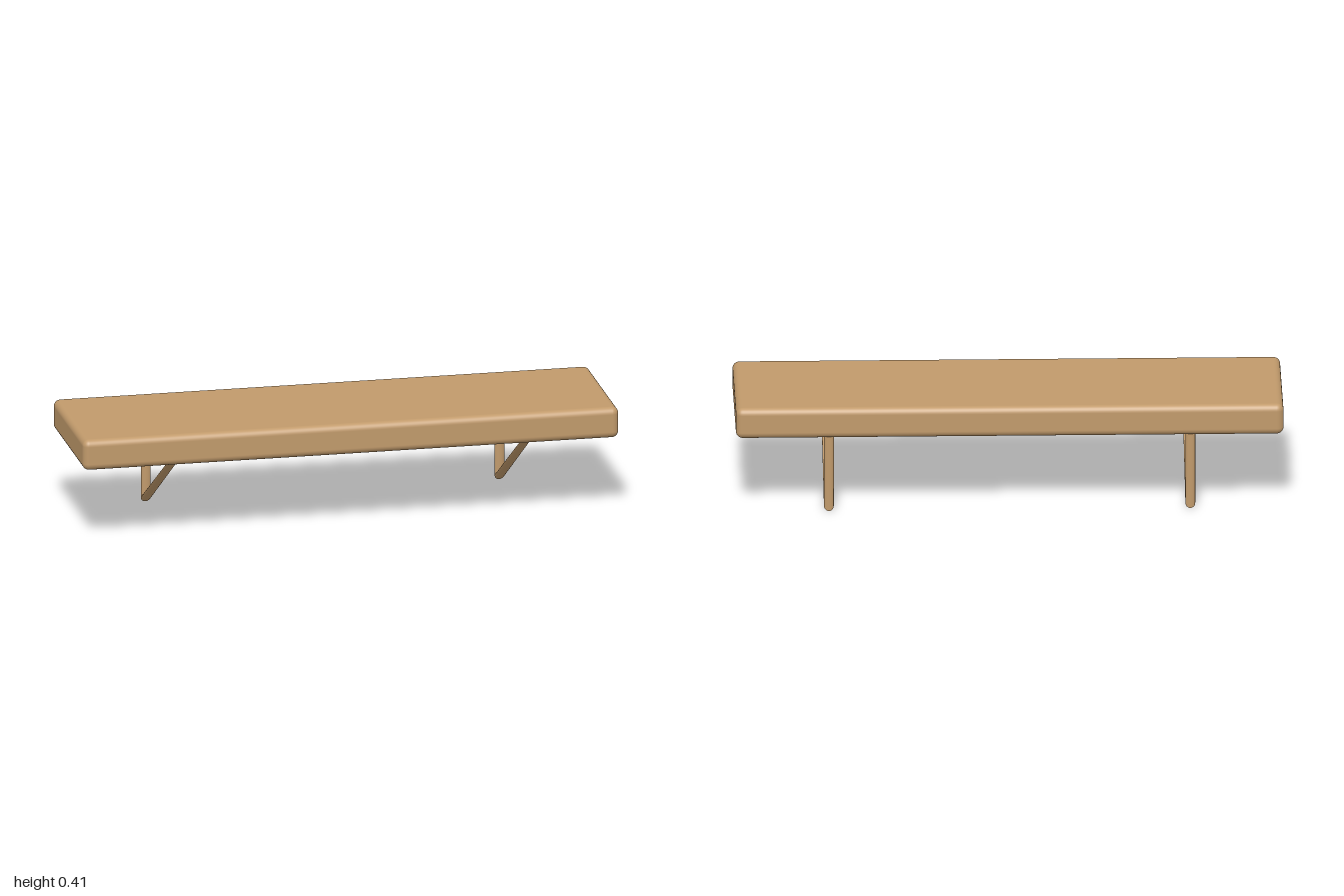
import * as THREE from 'three';
import { RoundedBoxGeometry } from 'three/addons/geometries/RoundedBoxGeometry.js';

// Bracket corners in the z-y plane: inner and outer mitre points
const CORNERS = [
  { inner: [-0.222, 0.272], outer: [-0.247, 0.297] }, // top back
  { inner: [-0.225, 0.035], outer: [-0.243, 0] },     // bottom
  { inner: [0.2, 0.28], outer: [0.25, 0.298] },       // top front
];
const HALF_WIDTH = 0.018;
const SIDES = 16;

// Tapered bar with an oval section, mitred at both corners
function barGeometry(from, to) {
  const positions = [];
  const indices = [];
  for (const { inner, outer } of [from, to]) {
    for (let i = 0; i < SIDES; i++) {
      const a = (i / SIDES) * Math.PI * 2;
      const t = (1 + Math.cos(a)) / 2;
      positions.push(
        HALF_WIDTH * Math.sin(a),
        THREE.MathUtils.lerp(inner[1], outer[1], t),
        THREE.MathUtils.lerp(inner[0], outer[0], t)
      );
    }
  }
  for (let i = 0; i < SIDES; i++) {
    const j = (i + 1) % SIDES;
    indices.push(i, j, SIDES + j, i, SIDES + j, SIDES + i);
  }
  const geometry = new THREE.BufferGeometry();
  geometry.setAttribute('position', new THREE.Float32BufferAttribute(positions, 3));
  geometry.setIndex(indices);
  geometry.computeVertexNormals();
  return geometry;
}

export function createModel() {
  const model = new THREE.Group();
  model.name = 'wallShelf';
  const wood = new THREE.MeshStandardMaterial({ color: 0xc19a6b });
  wood.name = 'wood';

  // Thick board with rounded edges
  const board = new THREE.Mesh(new RoundedBoxGeometry(2, 0.116, 0.548, 4, 0.025), wood);
  board.name = 'board';
  board.position.y = 0.348;
  model.add(board);

  // Two triangular brackets
  const barNames = ['wallBar', 'diagonalBrace', 'topBar'];
  const bars = CORNERS.map((corner, i) => barGeometry(corner, CORNERS[(i + 1) % 3]));
  for (const side of [1, -1]) {
    const bracket = new THREE.Group();
    bracket.name = side > 0 ? 'leftBracket' : 'rightBracket';
    bracket.position.x = side * 0.66;
    bars.forEach((geometry, i) => {
      const bar = new THREE.Mesh(geometry, wood);
      bar.name = barNames[i];
      bracket.add(bar);
    });
    model.add(bracket);
  }
  return model;
}
